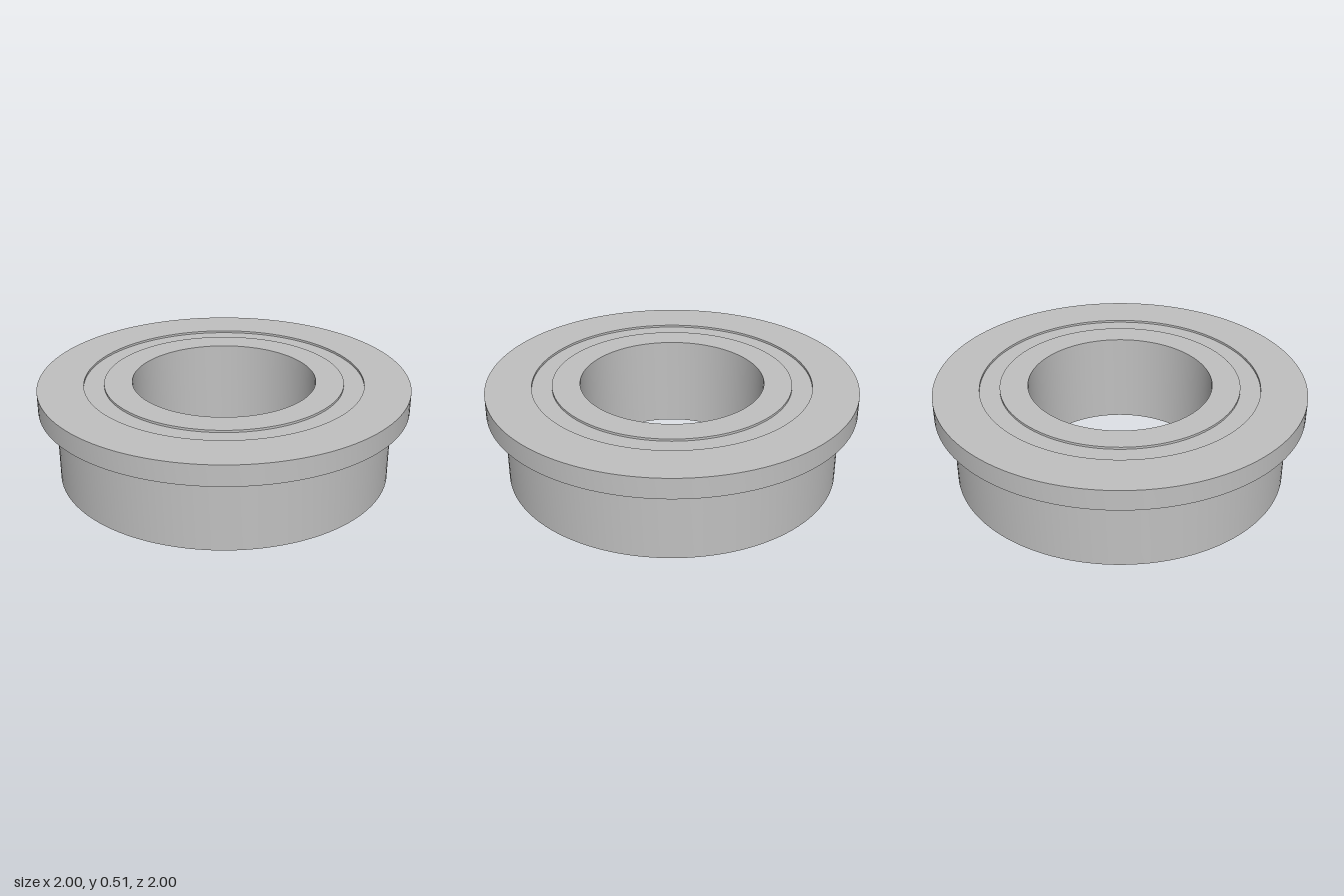
import * as THREE from 'three';
import { toCreasedNormals } from 'three/addons/utils/BufferGeometryUtils.js';

const HEIGHT = 0.512;      // overall height
const FLANGE_Y = 0.4;      // underside of the flange
const RECESS = 0.012;      // depth of the shields below the ring faces
const BORE_R = 0.495, INNER_R = 0.645, SHIELD_R = 0.753, BODY_R = 0.907, FLANGE_R = 1;

// Turns a closed [radius, y] profile, listed counterclockwise, into a sharp-edged ring
function ring(name, profile, material) {
  const points = [...profile, profile[0]].map(([r, y]) => new THREE.Vector2(r, y));
  const geometry = toCreasedNormals(new THREE.LatheGeometry(points, 128), 0.5);
  const mesh = new THREE.Mesh(geometry, material);
  mesh.name = name;
  return mesh;
}

// Rectangular ring section
const section = (r0, r1, y0, y1) => [[r0, y0], [r1, y0], [r1, y1], [r0, y1]];

export function createModel() {
  const steel = new THREE.MeshStandardMaterial({ color: 0xc0c0c0 });
  steel.name = 'steel';

  const bearing = new THREE.Group();
  bearing.name = 'flangedBearing';
  bearing.add(
    // Outer race with the flange at the top
    ring('outerRing', [
      [SHIELD_R, 0], [BODY_R, 0], [BODY_R, FLANGE_Y],
      [FLANGE_R, FLANGE_Y], [FLANGE_R, HEIGHT], [SHIELD_R, HEIGHT],
    ], steel),
    // Slightly recessed cover between the races, on both sides
    ring('shield', section(INNER_R, SHIELD_R, RECESS, HEIGHT - RECESS), steel),
    // Inner race around the bore
    ring('innerRing', section(BORE_R, INNER_R, 0, HEIGHT), steel),
  );
  return bearing;
}
